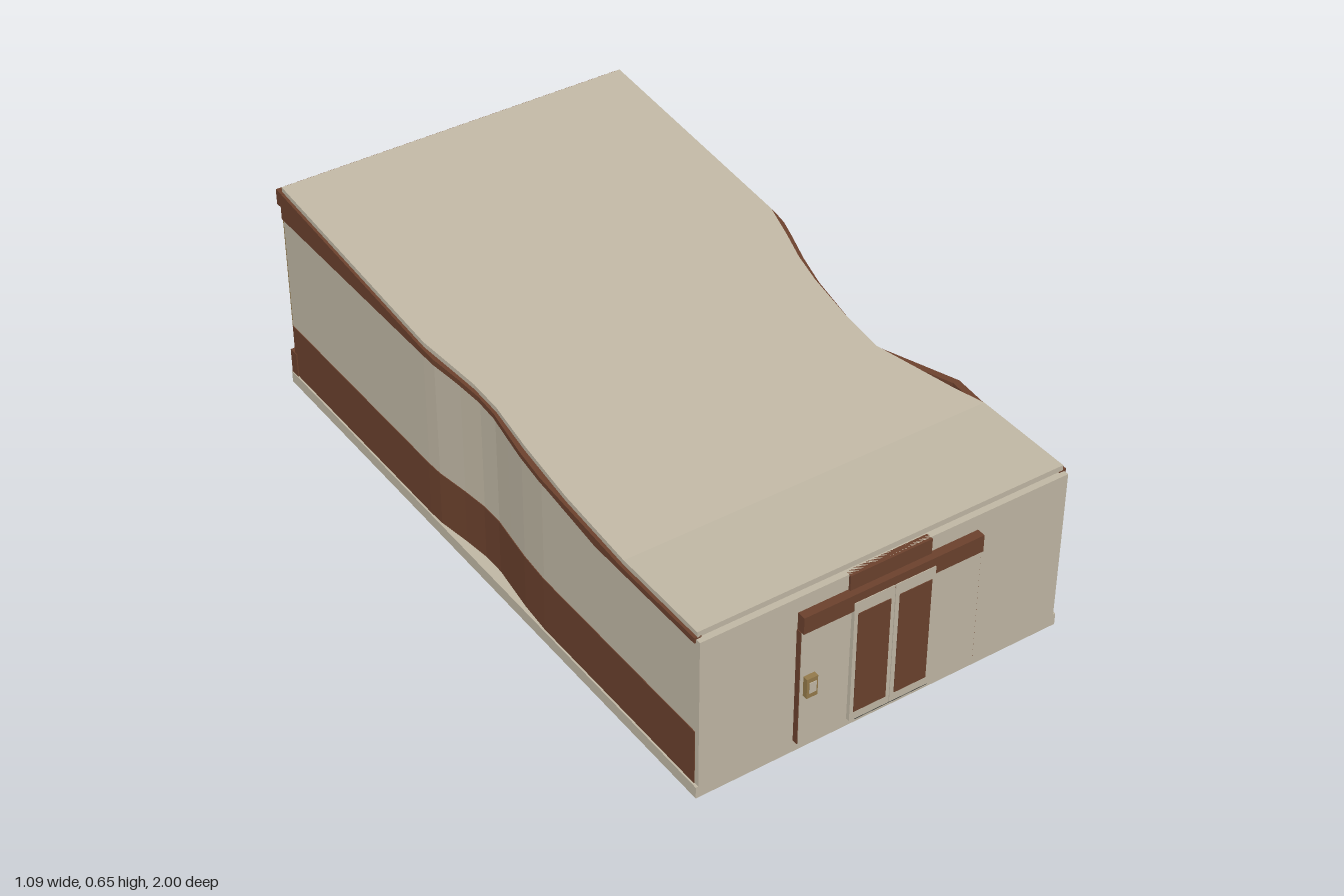
import * as THREE from 'three';

const material = (name, color, side = THREE.FrontSide) => {
  const m = new THREE.MeshStandardMaterial({ color, side });
  m.name = name;
  return m;
};

// Piecewise linear lookup; table rows are [z, value], z falling
function lookup(table, z) {
  if (z >= table[0][0]) return table[0][1];
  for (let i = 1; i < table.length; i++) {
    const [z0, v0] = table[i - 1], [z1, v1] = table[i];
    if (z >= z1) return v0 + (v1 - v0) * (z0 - z) / (z0 - z1);
  }
  return table[table.length - 1][1];
}

// Closed solid through rectangular sections {z, x0, x1, y0, y1}, front to back
function loft(sections) {
  const rings = sections.map(s => [
    [s.x0, s.y0, s.z], [s.x1, s.y0, s.z], [s.x1, s.y1, s.z], [s.x0, s.y1, s.z]]);
  const pos = [];
  const quad = (a, b, c, d) => pos.push(...a, ...b, ...c, ...a, ...c, ...d);
  quad(...rings[0]);
  for (let k = 0; k + 1 < rings.length; k++) {
    for (let i = 0; i < 4; i++) {
      const j = (i + 1) % 4;
      quad(rings[k][i], rings[k + 1][i], rings[k + 1][j], rings[k][j]);
    }
  }
  quad(...rings[rings.length - 1].slice().reverse());
  const geo = new THREE.BufferGeometry();
  geo.setAttribute('position', new THREE.Float32BufferAttribute(pos, 3));
  geo.computeVertexNormals();
  return geo;
}

export function createModel() {
  const model = new THREE.Group();
  model.name = 'pavilion';
  const cream = material('cream', 0xc0b7a4);
  const brown = material('brown', 0x6b412d);
  const glass = material('blueGreyGlass', 0x52626b);
  const tan = material('tan', 0x93794a);
  const dark = material('darkSill', 0x3a3a3a);

  const add = (name, geo, mat) => {
    const mesh = new THREE.Mesh(geo, mat);
    mesh.name = name;
    model.add(mesh);
    return mesh;
  };
  // Box given by its limits
  const box = (name, mat, x0, x1, y0, y1, z0, z1) =>
    add(name, new THREE.BoxGeometry(x1 - x0, y1 - y0, z1 - z0), mat)
      .position.set((x0 + x1) / 2, (y0 + y1) / 2, (z0 + z1) / 2);

  // Plan curves of walls and roof edges
  const wallLeft = [[0.95, 0.54], [0.54, 0.54], [0.33, 0.44], [0.2, 0.446], [0.05, 0.466],
    [-0.05, 0.49], [-0.14, 0.518], [-0.2, 0.535], [-0.25, 0.54], [-0.98, 0.54]];
  const wallRight = [[0.95, 0.54], [0.3, 0.54], [0.2, 0.533], [0.12, 0.523], [0.05, 0.514],
    [-0.02, 0.514], [-0.1, 0.523], [-0.2, 0.538], [-0.25, 0.54], [-0.98, 0.54]];
  const roofLeft = [[0.95, 0.535], [0.65, 0.535], [0.57, 0.505], [0.34, 0.435], [0.2, 0.441],
    [0.05, 0.458], [-0.05, 0.478], [-0.14, 0.505], [-0.25, 0.534], [-0.98, 0.535]];
  const roofRight = [[0.95, 0.537], [0.4, 0.535], [0.2, 0.524], [0.05, 0.51],
    [-0.05, 0.512], [-0.14, 0.523], [-0.25, 0.537], [-0.98, 0.537]];
  const roofTop = [[0.95, 0.505], [0.65, 0.505], [-0.98, 0.65]];
  const wallTop = [[0.95, 0.475], [0.54, 0.475], [0.33, 0.505], [-0.14, 0.545], [-0.25, 0.552], [-0.98, 0.552]];

  // Sections are taken at every bend of the given tables
  const bends = (...tables) =>
    [...new Set(tables.flat().map(p => p[0]))].sort((a, b) => b - a);

  // Foundation
  box('foundation', cream, -0.547, 0.547, 0, 0.035, -1, 0.965);

  // Sloping roof slab
  add('roof', loft(bends(roofLeft, roofRight, roofTop).map(z => ({
    z, x0: -lookup(roofRight, z), x1: lookup(roofLeft, z),
    y0: lookup(roofTop, z) - 0.016, y1: lookup(roofTop, z),
  }))), cream);

  // Curved side walls in three bands
  for (const [side, sign, path] of [['left', 1, wallLeft], ['right', -1, wallRight]]) {
    const band = (part, mat, out, bottom, top) =>
      add(side + part, loft(bends(path, roofTop, wallTop).map(z => {
        const outer = sign * (lookup(path, z) + out), inner = outer - sign * 0.02;
        return { z, x0: Math.min(outer, inner), x1: Math.max(outer, inner), y0: bottom(z), y1: top(z) };
      })), mat);
    band('LowerWallBand', brown, 0.002, () => 0.035, () => 0.2);
    band('Wall', cream, 0, () => 0.2, z => lookup(wallTop, z));
    band('EaveTrim', brown, 0.005, z => lookup(wallTop, z), z => lookup(roofTop, z) - 0.014);
  }

  // Front wall
  box('frontWall', cream, -0.54, 0.54, 0.035, 0.485, 0.945, 0.965);

  // Entrance surround
  box('entranceHeader', brown, -0.12, 0.12, 0.44, 0.485, 0.95, 0.972);
  box('entranceCanopy', brown, -0.265, 0.265, 0.39, 0.44, 0.96, 0.99);
  box('doorSill', dark, -0.1, 0.12, 0.035, 0.042, 0.96, 0.988);
  for (const s of [-1, 1]) {
    const mirrored = (name, mat, a, b, ...rest) =>
      box(name, mat, Math.min(s * a, s * b), Math.max(s * a, s * b), ...rest);
    mirrored('entranceSidePanel', cream, 0.122, 0.265, 0.037, 0.39, 0.96, 0.983);
    mirrored('entranceSideEdge', brown, 0.264, 0.267, 0.037, 0.39, 0.96, 0.981);
    mirrored('doorLeaf', cream, 0.001, 0.12, 0.042, 0.415, 0.96, 0.992);
    mirrored('doorPanel', brown, 0.013, 0.109, 0.068, 0.38, 0.99, 0.994);
    // Corner posts of the rear window
    mirrored('rearCornerPost', tan, 0.52, 0.538, 0.11, 0.592, -0.988, -0.97);
  }

  // Entry keypad
  box('keypad', tan, -0.256, -0.224, 0.19, 0.25, 0.98, 0.998);
  box('keypadFace', cream, -0.249, -0.229, 0.205, 0.237, 0.996, 1);

  // Rear window wall
  box('rearGlass', glass, -0.53, 0.53, 0.1, 0.6, -0.978, -0.968);
  box('rearCentrePost', tan, -0.01, 0.01, 0.11, 0.592, -0.988, -0.97);
  box('rearLowerBeam', brown, -0.545, 0.545, 0.035, 0.11, -1, -0.968);
  box('rearUpperBeam', brown, -0.545, 0.545, 0.59, 0.636, -1, -0.968);
  return model;
}
